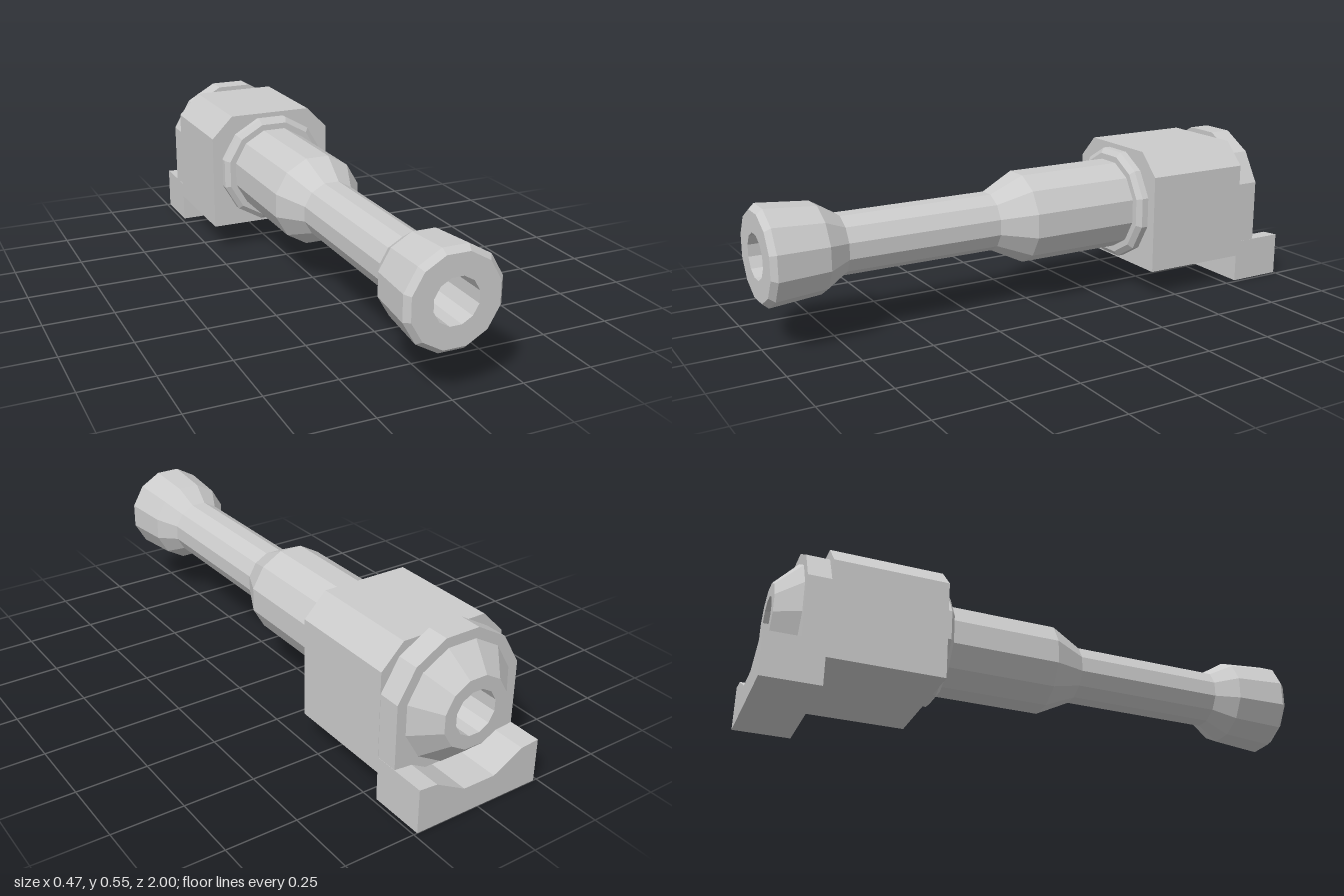
import * as THREE from 'three';

const SIDES = 12;
const AXIS_Y = 0.318;
const K = 1 / Math.cos(Math.PI / SIDES); // flat-to-flat radius -> corner radius

export function createModel() {
  const model = new THREE.Group();
  const mat = new THREE.MeshStandardMaterial({ color: 0xcccccc, flatShading: true });

  const add = (name, geometry) => {
    const mesh = new THREE.Mesh(geometry, mat);
    mesh.name = name;
    model.add(mesh);
    return mesh;
  };

  // Twelve-sided turned part along z; profile is [radius, z], outside running towards +z
  const turned = (name, profile) => {
    const points = profile.map(([r, z]) => new THREE.Vector2(r * K, z));
    const geometry = new THREE.LatheGeometry(points, SIDES, Math.PI / SIDES);
    geometry.rotateX(Math.PI / 2);
    add(name, geometry).position.y = AXIS_Y;
  };

  // Mirrored outline: right half from bottom to top, extruded between two z values
  const slab = (name, half, z0, z1, holeRadius) => {
    const left = half.map(([x, y]) => [-x, y]).reverse();
    const shape = new THREE.Shape([...half, ...left].map(([x, y]) => new THREE.Vector2(x, y)));
    if (holeRadius) {
      const ring = [];
      for (let i = 0; i < SIDES; i++) {
        const a = -(i + 0.5) * Math.PI * 2 / SIDES;
        ring.push(new THREE.Vector2(holeRadius * K * Math.cos(a), AXIS_Y + holeRadius * K * Math.sin(a)));
      }
      shape.holes.push(new THREE.Path(ring));
    }
    const geometry = new THREE.ExtrudeGeometry(shape, { depth: z1 - z0, bevelEnabled: false });
    geometry.translate(0, 0, z0);
    add(name, geometry);
  };

  // Barrel with flared muzzle and bore
  turned('barrel', [
    [0.16, -0.4], [0.16, 0.04], [0.102, 0.16], [0.102, 0.72], [0.15, 0.8],
    [0.165, 0.98], [0.148, 1], [0.076, 1], [0.076, 0.5], [0, 0.5],
  ]);

  // Stepped collar where the barrel meets the housing
  turned('collar', [[0.2, -0.4], [0.2, -0.375], [0.182, -0.36], [0.155, -0.36]]);

  // Housing block with chamfered top corners
  slab('housing', [[0.237, 0.1], [0.237, 0.455], [0.157, 0.536]], -0.8, -0.4);

  // Arched plate behind the housing
  slab('rearPlate', [[0.236, 0.12], [0.236, 0.381], [0.172, 0.49], [0.063, 0.553]], -0.88, -0.8, 0.1);

  // Domed rear cap with a socket
  turned('rearCap', [[0, -0.795], [0.076, -0.795], [0.076, -0.96], [0.12, -0.96], [0.2, -0.88]]);

  // Foot with a cradle cut into its top
  slab('foot', [[0.237, 0], [0.237, 0.156], [0.17, 0.15], [0.06, 0.09]], -1, -0.8);

  return model;
}
